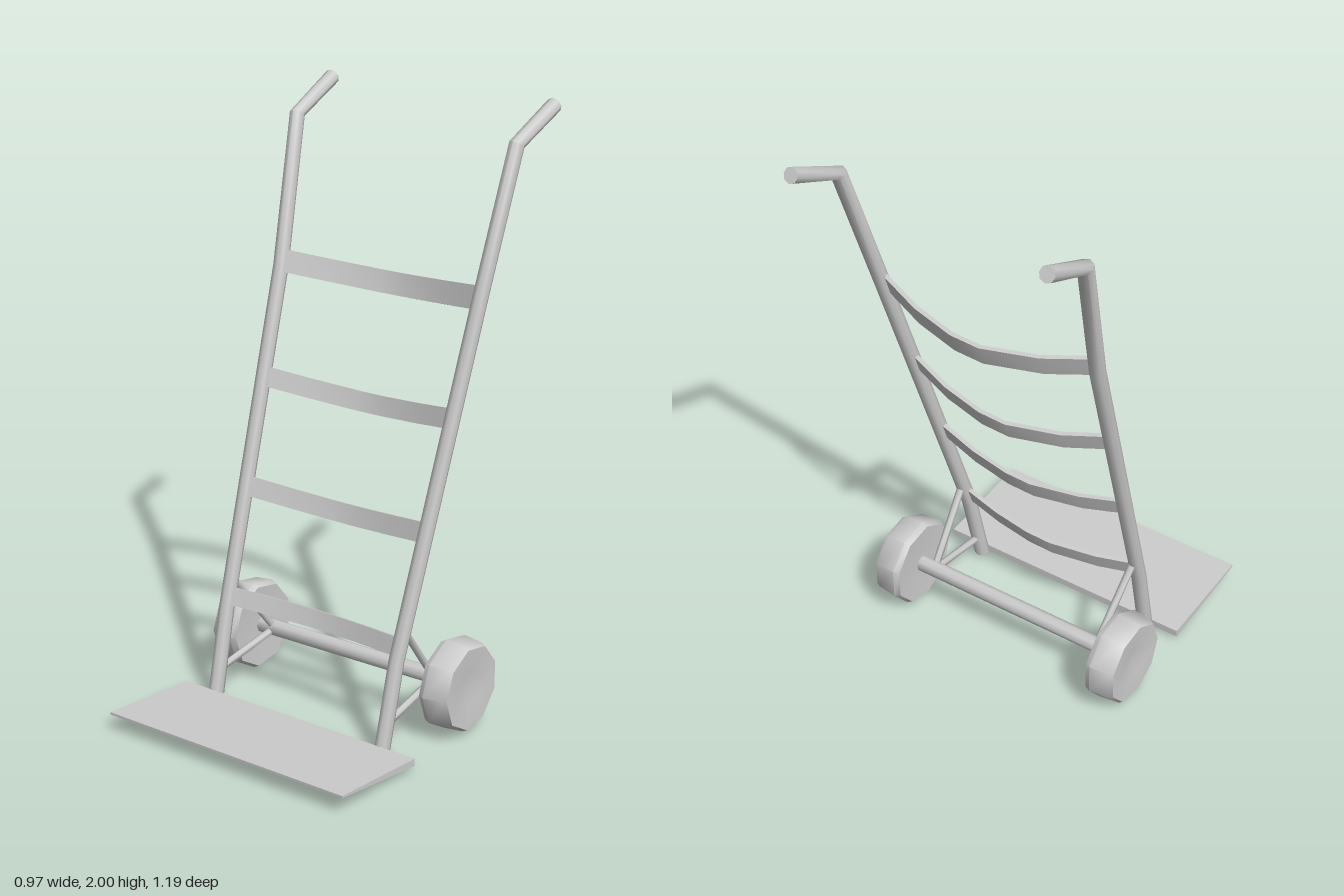
import * as THREE from 'three';
import { toCreasedNormals } from 'three/addons/utils/BufferGeometryUtils.js';

const V = (p) => new THREE.Vector3(...p);

// Sweep a cross-section of [u, v] offsets along a bent path; "up" fixes the v axis.
function sweep(path, section, up, crease) {
  const pts = path.map(V), n = section.length, pos = [], idx = [];
  pts.forEach((p, i) => {
    const t = pts[Math.min(i + 1, pts.length - 1)].clone().sub(pts[Math.max(i - 1, 0)]).normalize();
    const u = V(up).cross(t).normalize();
    const v = t.clone().cross(u);
    for (const [a, b] of section) {
      const q = p.clone().addScaledVector(u, a).addScaledVector(v, b);
      pos.push(q.x, q.y, q.z);
    }
  });
  const last = (pts.length - 1) * n;
  for (let i = 0; i < last; i += n)
    for (let j = 0; j < n; j++) {
      const k = (j + 1) % n;
      idx.push(i + j, i + k, i + n + k, i + j, i + n + k, i + n + j);
    }
  for (let j = 1; j < n - 1; j++) idx.push(0, j + 1, j, last, last + j, last + j + 1);
  const g = new THREE.BufferGeometry();
  g.setAttribute('position', new THREE.Float32BufferAttribute(pos, 3));
  g.setIndex(idx);
  return toCreasedNormals(g, crease);
}

const ring = (r, n) => Array.from({ length: n }, (_, i) => {
  const a = (i / n) * Math.PI * 2;
  return [r * Math.cos(a), r * Math.sin(a)];
});
const bar = (w, h) => [[w / 2, -h / 2], [w / 2, h / 2], [-w / 2, h / 2], [-w / 2, -h / 2]];

export function createModel() {
  const group = new THREE.Group();
  const material = new THREE.MeshStandardMaterial({ color: 0xcccccc });
  const add = (name, geometry) => {
    const mesh = new THREE.Mesh(geometry, material);
    mesh.name = name;
    group.add(mesh);
    return mesh;
  };

  for (const [side, s, topX, endX] of [['left', 1, 0.42, 0.425], ['right', -1, 0.445, 0.455]]) {
    // Side rail with its bent-back handle
    add(side + 'Rail', sweep([
      [s * 0.345, 0.02, 0.205], [s * 0.35, 0.3, 0.14], [s * 0.395, 1.4, -0.22],
      [s * topX, 1.88, -0.375], [s * endX, 1.975, -0.58],
    ], ring(0.026, 8), [1, 0, 0], 0.9));

    // Struts holding the axle
    add(side + 'UpperStrut', sweep([[s * 0.35, 0.38, 0.09], [s * 0.335, 0.17, -0.08]],
      ring(0.013, 6), [1, 0, 0], 1.1));
    add(side + 'LowerStrut', sweep([[s * 0.345, 0.1, 0.17], [s * 0.335, 0.15, -0.08]],
      ring(0.013, 6), [1, 0, 0], 1.1));

    // Wheel: low-sided, slightly tapered outwards, with a shallow dish
    const profile = [[0, 0.005], [0.06, 0.005], [0.148, 0], [0.158, 0.02], [0.15, 0.09], [0.142, 0.104],
      [0.06, 0.1], [0, 0.09]].map(([r, x]) => new THREE.Vector2(r, x));
    const wheel = add(side + 'Wheel', toCreasedNormals(new THREE.LatheGeometry(profile, 9), 0.8));
    wheel.rotation.z = -s * Math.PI / 2;
    wheel.position.set(s * 0.381, s > 0 ? 0.16 : 0.153, -0.09);
  }

  // Axle
  add('axle', sweep([[-0.4, 0.155, -0.09], [0.4, 0.16, -0.095]], ring(0.028, 8), [0, 1, 0], 0.9));

  // Bowed slats: end height, sag, end z, bow, half width
  [
    [1.42, 0.04, -0.215, 0.105, 0.395, 0.075],
    [1.05, 0.045, -0.1, 0.085, 0.38, 0.065],
    [0.7, 0.035, 0.015, 0.06, 0.365, 0.065],
    [0.345, 0.02, 0.13, 0.055, 0.352, 0.06],
  ].forEach(([y, sag, z, bow, w, h], i) => {
    const path = [[-1, 0], [-0.6, 0.6], [-0.12, 1], [0.15, 0.96], [0.55, 0.62], [1, 0]]
      .map(([x, b]) => [x * w, y - sag * b, z - bow * b]);
    add('slat' + (i + 1), sweep(path, bar(0.014, h), [0, 1, -0.33], 0.6));
  });

  // Toe plate: thin at the front edge, thicker where it meets the rails
  const plate = new THREE.BoxGeometry(0.945, 1, 0.375);
  const p = plate.attributes.position;
  for (let i = 0; i < p.count; i++) {
    const front = p.getZ(i) > 0, top = p.getY(i) > 0;
    p.setY(i, front ? (top ? 0.062 : 0.054) : (top ? 0.035 : 0.01));
  }
  plate.translate(0.0125, 0, 0.4125);
  plate.computeVertexNormals();
  add('toePlate', plate);

  return group;
}
